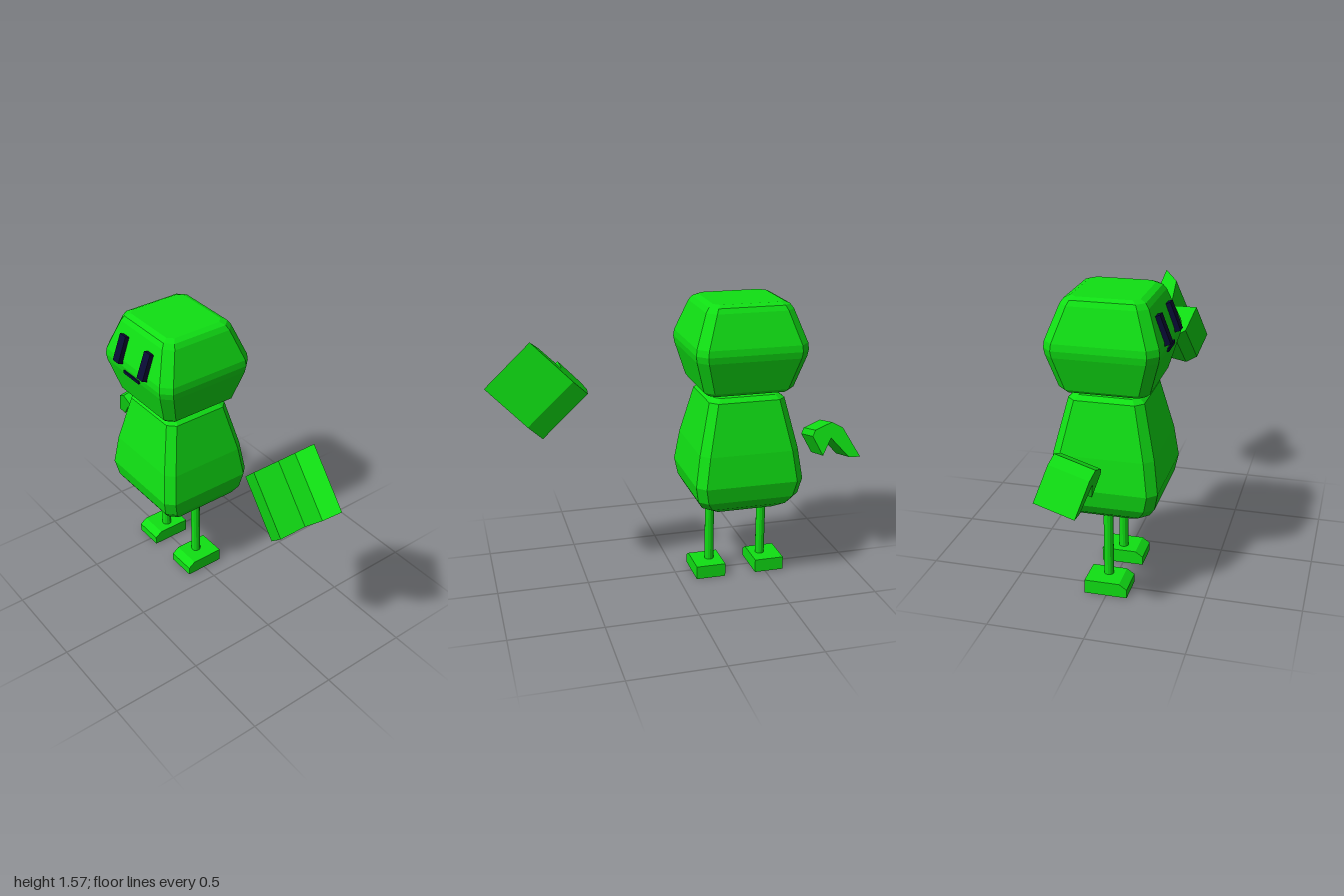
import * as THREE from 'three';

const paint = (color) => new THREE.MeshStandardMaterial({ color, flatShading: true, side: THREE.DoubleSide });
const V = (x, y, z) => new THREE.Vector3(x, y, z);

// Lofts chamfered rectangles [y, halfX, halfZ, chamfer] from bottom to top, with closed ends.
function loft(sections) {
  const pos = [], index = [];
  for (const [y, a, b, c] of sections) {
    for (const [x, z] of [[a, b - c], [a, c - b], [a - c, -b], [c - a, -b],
      [-a, c - b], [-a, b - c], [c - a, b], [a - c, b]]) pos.push(x, y, z);
  }
  for (let r = 0; r < sections.length - 1; r++) {
    for (let i = 0; i < 8; i++) {
      const p = r * 8 + i, q = r * 8 + (i + 1) % 8;
      index.push(p, q, q + 8, p, q + 8, p + 8);
    }
  }
  const top = (sections.length - 1) * 8;
  for (let i = 1; i < 7; i++) {
    index.push(0, i + 1, i, top, top + i, top + i + 1);
  }
  const g = new THREE.BufferGeometry();
  g.setAttribute('position', new THREE.Float32BufferAttribute(pos, 3));
  g.setIndex(index);
  g.computeVertexNormals();
  return g;
}

// Extrudes a profile by one unit, then places it on the given axes.
function prism(points, ax, ay, az, origin) {
  const shape = new THREE.Shape(points.map(([x, y]) => new THREE.Vector2(x, y)));
  const g = new THREE.ExtrudeGeometry(shape, { depth: 1, bevelEnabled: false });
  g.applyMatrix4(new THREE.Matrix4().makeBasis(ax, ay, az).setPosition(origin));
  g.computeVertexNormals();
  return g;
}

export function createModel() {
  const model = new THREE.Group();
  const green = paint(0x10e014), navy = paint(0x080a34);
  const add = (name, geometry, material, x = 0, y = 0, z = 0) => {
    const mesh = new THREE.Mesh(geometry, material);
    mesh.name = name;
    mesh.position.set(x, y, z);
    model.add(mesh);
    return mesh;
  };

  // Pear-shaped body
  add('body', loft([
    [0.43, 0.17, 0.19, 0.035], [0.47, 0.23, 0.25, 0.045], [0.52, 0.262, 0.28, 0.045],
    [0.61, 0.28, 0.297, 0.045], [0.78, 0.257, 0.272, 0.045], [1.05, 0.193, 0.208, 0.04],
    [1.072, 0.165, 0.18, 0.03],
  ]), green, 0.013, 0, -0.348);

  // Faceted head
  add('head', loft([
    [1.095, 0.205, 0.22, 0.03], [1.115, 0.228, 0.245, 0.045], [1.29, 0.279, 0.297, 0.05],
    [1.325, 0.284, 0.302, 0.05], [1.36, 0.28, 0.298, 0.05], [1.53, 0.217, 0.235, 0.045],
    [1.555, 0.2, 0.218, 0.04], [1.568, 0.17, 0.19, 0.03],
  ]), green, 0.013, 0, -0.348);

  // Eyes and mouth on the -x face
  for (const z of [-0.46, -0.235]) {
    add('eye', new THREE.BoxGeometry(0.04, 0.15, 0.052), navy, -0.253, 1.413, z).rotation.z = -0.37;
  }
  add('mouth', new THREE.BoxGeometry(0.02, 0.018, 0.14), navy, -0.266, 1.3, -0.352);

  // Legs and feet with a sloped toe
  const foot = [[-0.11, 0], [0.115, 0], [0.115, 0.075], [-0.07, 0.075], [-0.11, 0.047]];
  for (const z of [-0.195, -0.498]) {
    add('leg', new THREE.CylinderGeometry(0.026, 0.026, 0.4, 12), green, 0.012, 0.25, z);
  }
  for (const z of [-0.262, -0.605]) {
    add('foot', prism(foot, V(1, 0, 0), V(0, 1, 0), V(0, 0, 0.166), V(0, 0, z)), green);
  }

  // Large bent wing, detached on the +z side
  add('largeWing', prism(
    [[0, 0], [0.06, 0.29], [0.035, 0.4], [-0.115, 0.43], [-0.175, 0.39],
      [-0.215, 0.235], [-0.065, 0.235], [-0.07, 0.07]],
    V(1, 0, 0), V(0, -0.707, -0.707), V(0.025, 0.235, -0.24), V(-0.025, 1.155, 0.998),
  ), green);

  // Small bent wing, detached on the -z side
  add('smallWing', prism(
    [[0.984, 0.695], [0.893, 0.856], [0.834, 0.888], [0.738, 0.85], [0.722, 0.818],
      [0.774, 0.713], [0.824, 0.804], [0.92, 0.697]],
    V(0.078, 0, -1), V(-0.25, 1, 0), V(0.206, 0.055, 0.016), V(0.128, -0.055, -0.016),
  ), green);

  return model;
}
